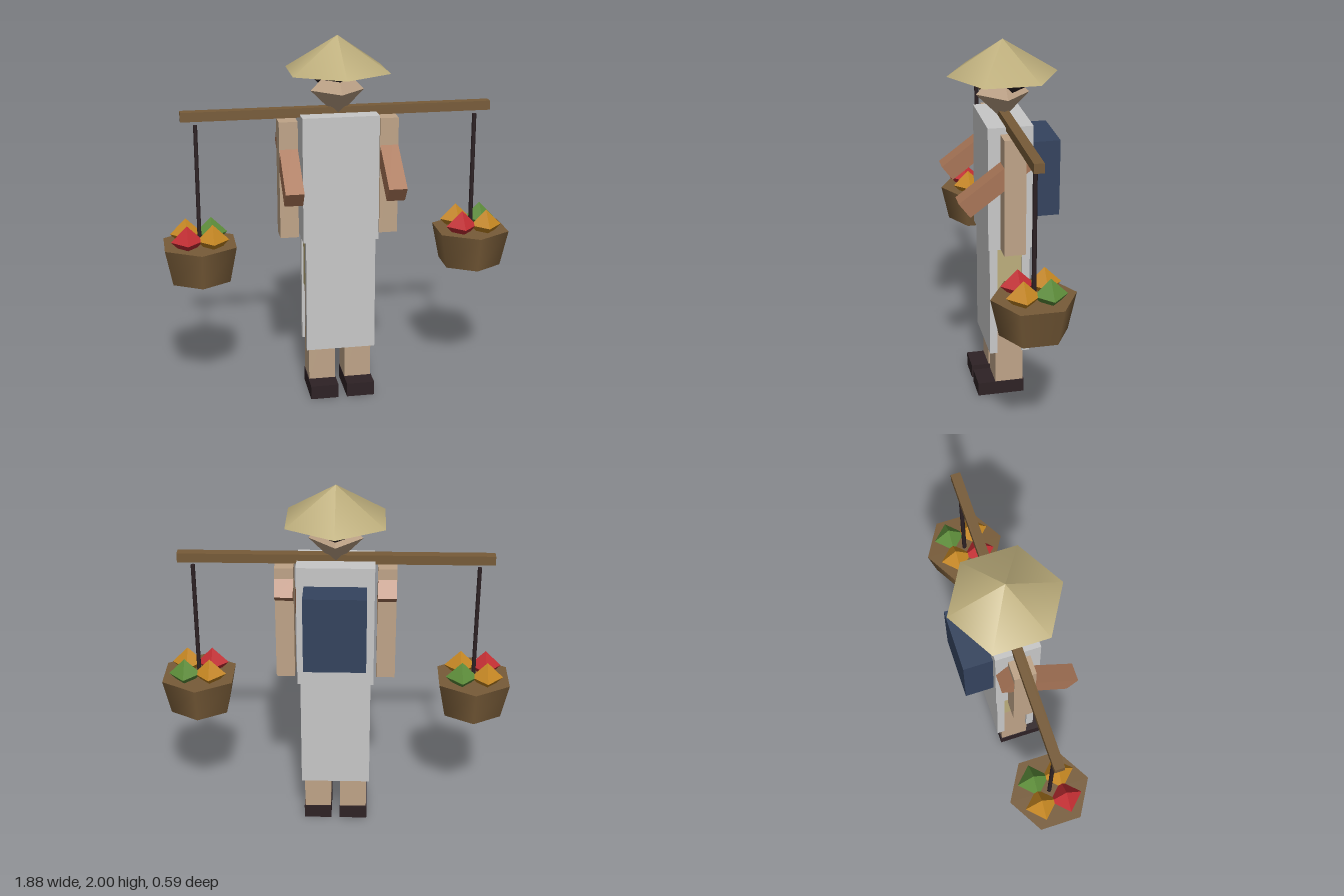
import * as THREE from 'three';

const mat = (name, color, flatShading = false) => {
  const m = new THREE.MeshStandardMaterial({ color, flatShading });
  m.name = name;
  return m;
};

export function createModel() {
  const cloth = mat('grey cloth', 0xc8c8c8);
  const skin = mat('skin', 0xbfa488);
  const tanned = mat('tanned skin', 0xa87557);
  const straw = mat('straw', 0xbdae7c);
  const wood = mat('wood', 0x775b38);
  const dark = mat('dark brown', 0x2e2225);
  const navy = mat('navy', 0x34435e);
  const red = mat('red fruit', 0xc42e33);
  const orange = mat('orange fruit', 0xc68722);
  const green = mat('green fruit', 0x5d8d3a);

  const model = new THREE.Group();
  model.name = 'porter';

  const add = (name, geometry, material, x, y, z, parent = model) => {
    const mesh = new THREE.Mesh(geometry, material);
    mesh.name = name;
    mesh.position.set(x, y, z);
    parent.add(mesh);
    return mesh;
  };
  const box = (name, material, w, h, d, x, y, z, parent) =>
    add(name, new THREE.BoxGeometry(w, h, d), material, x, y, z, parent);

  // Head, hair and six-sided hat
  add('head', new THREE.OctahedronGeometry(0.143), skin, 0, 1.71, 0);
  add('hair', new THREE.OctahedronGeometry(0.13), dark, 0, 1.777, -0.034);
  add('hat', new THREE.ConeGeometry(0.295, 0.185, 6), straw, 0, 1.9075, 0);

  // Clothes: tunic, front and back skirt panels, shorts between them
  box('tunic', cloth, 0.41, 0.685, 0.24, 0, 1.2475, 0);
  box('frontSkirt', cloth, 0.38, 0.635, 0.042, 0, 0.5875, 0.089);
  box('backSkirt', cloth, 0.38, 0.635, 0.042, 0, 0.5875, -0.089);
  box('shorts', straw, 0.36, 0.31, 0.156, 0, 0.755, 0);
  box('backpack', navy, 0.33, 0.42, 0.155, 0, 1.276, -0.1975);

  // Limbs on both sides
  for (const [side, s] of [['left', 1], ['right', -1]]) {
    box(side + 'Leg', skin, 0.148, 0.54, 0.155, s * 0.1, 0.335, 0);
    box(side + 'Shoe', dark, 0.154, 0.078, 0.26, s * 0.101, 0.039, 0.045);
    box(side + 'Arm', skin, 0.1, 0.64, 0.116, s * 0.271, 1.24, 0);
    const forearm = box(side + 'Forearm', tanned, 0.098, 0.1, 0.446, s * 0.271, 1.329, 0.086);
    forearm.rotation.x = 0.64;
  }

  // Carrying pole with a loaded basket at each end
  box('pole', wood, 1.66, 0.05, 0.052, 0, 1.599, 0);
  const fruits = [
    [orange, -1, -1], [green, 1, -1],
    [red, -1, 1], [orange, 1, 1],
  ];
  for (const [side, s] of [['left', 1], ['right', -1]]) {
    const load = new THREE.Group();
    load.name = side + 'Load';
    load.position.x = s * 0.752;
    model.add(load);
    add('rope', new THREE.CylinderGeometry(0.012, 0.012, 0.66, 6), dark, 0, 1.22, 0, load);
    add('basket', new THREE.CylinderGeometry(0.219, 0.176, 0.2, 6), wood, 0, 0.8, 0, load);
    for (const [material, fx, fz] of fruits) {
      add('fruit', new THREE.OctahedronGeometry(0.087), material, fx * 0.068, 0.934, fz * 0.068, load);
    }
  }

  return model;
}
